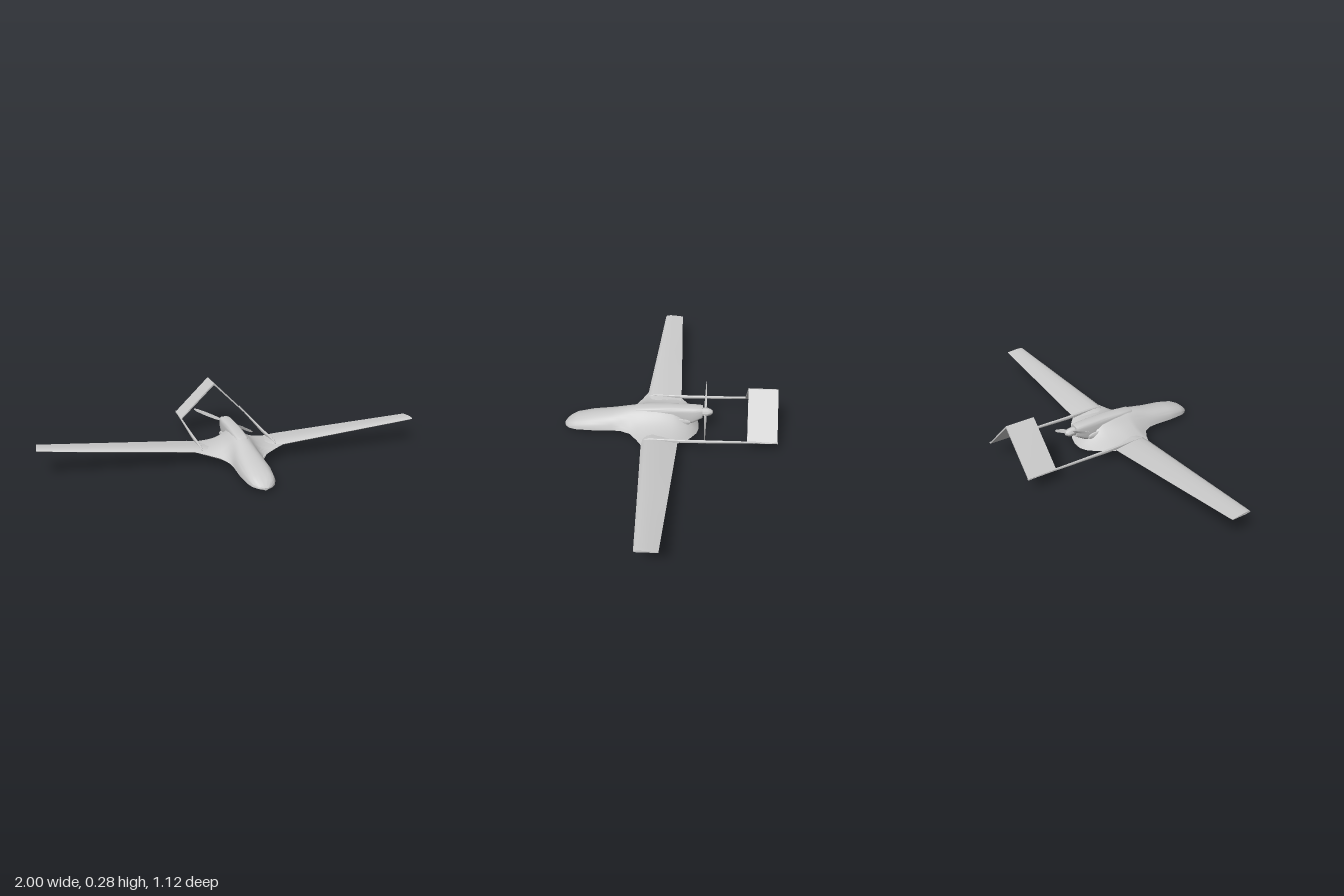
import * as THREE from 'three';
import { toCreasedNormals } from 'three/addons/utils/BufferGeometryUtils.js';

const material = new THREE.MeshStandardMaterial({ color: 0xcccccc });

// Joins closed rings of [x, y, z] points into a capped solid facing outwards.
function loft(rings, crease = 0.6) {
  const n = rings[0].length;
  const pts = rings.flat();
  const faces = [];
  for (let r = 0; r < rings.length - 1; r++) {
    for (let i = 0; i < n; i++) {
      const j = (i + 1) % n, a = r * n, b = a + n;
      faces.push([a + i, a + j, b + j], [a + i, b + j, b + i]);
    }
  }
  for (const end of [0, rings.length - 1]) {
    const ring = rings[end];
    const c = pts.length;
    pts.push([0, 1, 2].map((k) => ring.reduce((s, p) => s + p[k], 0) / n));
    for (let i = 0; i < n; i++) {
      const a = end * n + i, b = end * n + ((i + 1) % n);
      faces.push(end === 0 ? [c, b, a] : [c, a, b]);
    }
  }
  const v = pts.map((p) => new THREE.Vector3(...p));
  let volume = 0;
  for (const [a, b, c] of faces) volume += v[a].dot(v[b].clone().cross(v[c]));
  if (volume < 0) faces.forEach((f) => f.reverse());
  const geo = new THREE.BufferGeometry();
  geo.setAttribute('position', new THREE.Float32BufferAttribute(pts.flat(), 3));
  geo.setIndex(faces.flat());
  return toCreasedNormals(geo, crease);
}

function add(parent, name, geometry) {
  const mesh = new THREE.Mesh(geometry, material);
  mesh.name = name;
  parent.add(mesh);
  return mesh;
}

// Blended body section: a bell or dome above the chine, a shallow V below.
function bodyRing([z, w, edge, top, bottom, shoulder, waist, waistY]) {
  const upper = new THREE.CubicBezierCurve(
    new THREE.Vector2(0, top), new THREE.Vector2(shoulder, top),
    new THREE.Vector2(waist, waistY), new THREE.Vector2(w, edge));
  const half = upper.getPoints(12).map((p) => [p.x, p.y, z]);
  for (let i = 5; i >= 0; i--) {
    const t = i / 6;
    half.push([w * t, bottom + (edge - bottom) * t ** 1.4, z]);
  }
  const mirrored = half.slice(1, -1).reverse().map(([x, y]) => [-x, y, z]);
  return [...half, ...mirrored];
}

// Rounded rectangular section at a given z.
function roundedRing(x, z, hw, top, bottom, power = 0.5, n = 24) {
  const ring = [];
  for (let i = 0; i < n; i++) {
    const a = (i / n) * Math.PI * 2, c = Math.cos(a), s = Math.sin(a);
    ring.push([x + hw * Math.sign(c) * Math.abs(c) ** power,
      (top + bottom) / 2 + (top - bottom) / 2 * Math.sign(s) * Math.abs(s) ** power, z]);
  }
  return ring;
}

// Aerofoil outline as [chord position, height] with unit chord and thickness.
const foil = [[0, 0], [0.03, 0.26], [0.12, 0.48], [0.3, 0.58], [0.6, 0.4], [1, 0.04],
  [1, -0.04], [0.6, -0.27], [0.3, -0.42], [0.12, -0.36], [0.03, -0.2]];

export function createModel() {
  const model = new THREE.Group();
  model.name = 'unmannedAircraft';

  // Blended fuselage: z, half width, chine y, top, bottom, bezier controls
  const stations = [
    [0.56, 0.012, 0.016, 0.022, 0.010, 0.008, 0.012, 0.02],
    [0.55, 0.033, 0.017, 0.033, 0.008, 0.025, 0.033, 0.026],
    [0.53, 0.053, 0.020, 0.050, 0.007, 0.035, 0.053, 0.040],
    [0.495, 0.068, 0.024, 0.068, 0.007, 0.045, 0.066, 0.055],
    [0.41, 0.079, 0.030, 0.090, 0.008, 0.050, 0.075, 0.070],
    [0.30, 0.080, 0.035, 0.109, 0.007, 0.055, 0.070, 0.080],
    [0.25, 0.089, 0.040, 0.122, 0.005, 0.060, 0.062, 0.075],
    [0.20, 0.122, 0.050, 0.135, 0.002, 0.060, 0.055, 0.070],
    [0.16, 0.180, 0.060, 0.142, 0.000, 0.065, 0.048, 0.070],
    [0.13, 0.235, 0.070, 0.146, 0.000, 0.065, 0.040, 0.070],
    [0.05, 0.235, 0.071, 0.146, 0.006, 0.060, 0.035, 0.068],
    [-0.02, 0.220, 0.068, 0.138, 0.015, 0.055, 0.030, 0.066],
    [-0.055, 0.200, 0.062, 0.115, 0.020, 0.055, 0.030, 0.066],
    [-0.09, 0.165, 0.053, 0.085, 0.020, 0.050, 0.040, 0.060],
    [-0.12, 0.122, 0.042, 0.062, 0.019, 0.045, 0.050, 0.046],
    [-0.145, 0.068, 0.028, 0.036, 0.018, 0.030, 0.040, 0.030],
    [-0.155, 0.028, 0.022, 0.025, 0.018, 0.012, 0.018, 0.023],
  ];
  add(model, 'fuselage', loft(stations.map(bodyRing)));

  // Engine spine on top: z, half width, top, bottom
  const spine = [[0.19, 0.020, 0.135, 0.10], [0.17, 0.032, 0.143, 0.09], [0.1, 0.036, 0.150, 0.08],
    [0, 0.036, 0.156, 0.06], [-0.1, 0.035, 0.156, 0.05], [-0.13, 0.034, 0.155, 0.066],
    [-0.16, 0.031, 0.154, 0.085], [-0.175, 0.027, 0.152, 0.092]];
  add(model, 'engineCowling', loft(spine.map(([z, hw, t, b]) => roundedRing(0, z, hw, t, b))));

  for (const side of [1, -1]) {
    const label = side > 0 ? 'left' : 'right';

    // Wing: x, leading z, trailing z, middle y, thickness
    const sections = [[0.1, 0.13, -0.05, 0.055, 0.026], [0.24, 0.13, -0.053, 0.071, 0.026],
      [0.62, 0.107, -0.037, 0.101, 0.02], [0.985, 0.086, -0.021, 0.130, 0.015],
      [1, 0.084, -0.02, 0.132, 0.012]];
    add(model, label + 'Wing', loft(sections.map(([x, lead, trail, y, thick]) =>
      foil.map(([c, h]) => [side * x, y + h * thick, lead + (trail - lead) * c]))));

    // Tail boom: z, middle y, half width, half height
    const boom = [[0.125, 0.074, 0.002, 0.003], [0.09, 0.077, 0.007, 0.009],
      [-0.1, 0.075, 0.007, 0.0095], [-0.25, 0.079, 0.005, 0.008],
      [-0.405, 0.084, 0.004, 0.006], [-0.56, 0.087, 0.003, 0.004]];
    add(model, label + 'Boom', loft(boom.map(([z, y, hw, hh]) =>
      roundedRing(side * 0.195, z, hw, y + hh, y - hh, 0.8, 10))));

    // Slim cooling fairing beside the engine
    const fairing = [[0.04, 0.003, 0.098, 0.085], [-0.01, 0.008, 0.102, 0.07],
      [-0.09, 0.008, 0.098, 0.064], [-0.11, 0.005, 0.09, 0.07]];
    add(model, label + 'Fairing', loft(fairing.map(([z, hw, t, b]) =>
      roundedRing(side * 0.042, z, hw, t, b, 0.8, 12))));
  }

  // Inverted V tail
  const vee = new THREE.Shape([[-0.199, 0.084], [-0.194, 0.080], [0, 0.271], [0.194, 0.080],
    [0.199, 0.084], [0.003, 0.28], [-0.003, 0.28]].map((p) => new THREE.Vector2(...p)));
  const tail = add(model, 'invertedVTail',
    new THREE.ExtrudeGeometry(vee, { depth: 0.152, bevelEnabled: false }));
  tail.position.z = -0.557;

  // Pusher propeller
  const propeller = new THREE.Group();
  propeller.name = 'propeller';
  propeller.position.set(0, 0.122, -0.19);
  propeller.rotation.z = -0.45;
  model.add(propeller);
  const profile = [[0, 0.018], [0.021, 0.018], [0.023, 0.004], [0.022, -0.01], [0.017, -0.026],
    [0.009, -0.037], [0, -0.04]].map(([r, y]) => new THREE.Vector2(r, y)).reverse();
  const spinner = add(propeller, 'spinner', toCreasedNormals(new THREE.LatheGeometry(profile, 24), 0.6));
  spinner.rotation.x = Math.PI / 2;
  // Blade: radius, chord, thickness, pitch
  const blade = [[0.01, 0.012, 0.008, 0.9], [0.05, 0.02, 0.005, 0.7], [0.11, 0.02, 0.004, 0.45],
    [0.165, 0.015, 0.003, 0.3], [0.183, 0.006, 0.002, 0.25]];
  for (const side of [1, -1]) {
    const mesh = add(propeller, 'blade', loft(blade.map(([r, chord, thick, pitch]) =>
      foil.map(([c, h]) => {
        const u = (c - 0.45) * chord, w = h * thick;
        return [r, u * Math.cos(pitch) - w * Math.sin(pitch), u * Math.sin(pitch) + w * Math.cos(pitch)];
      }))));
    if (side < 0) mesh.rotation.z = Math.PI;
  }
  return model;
}
